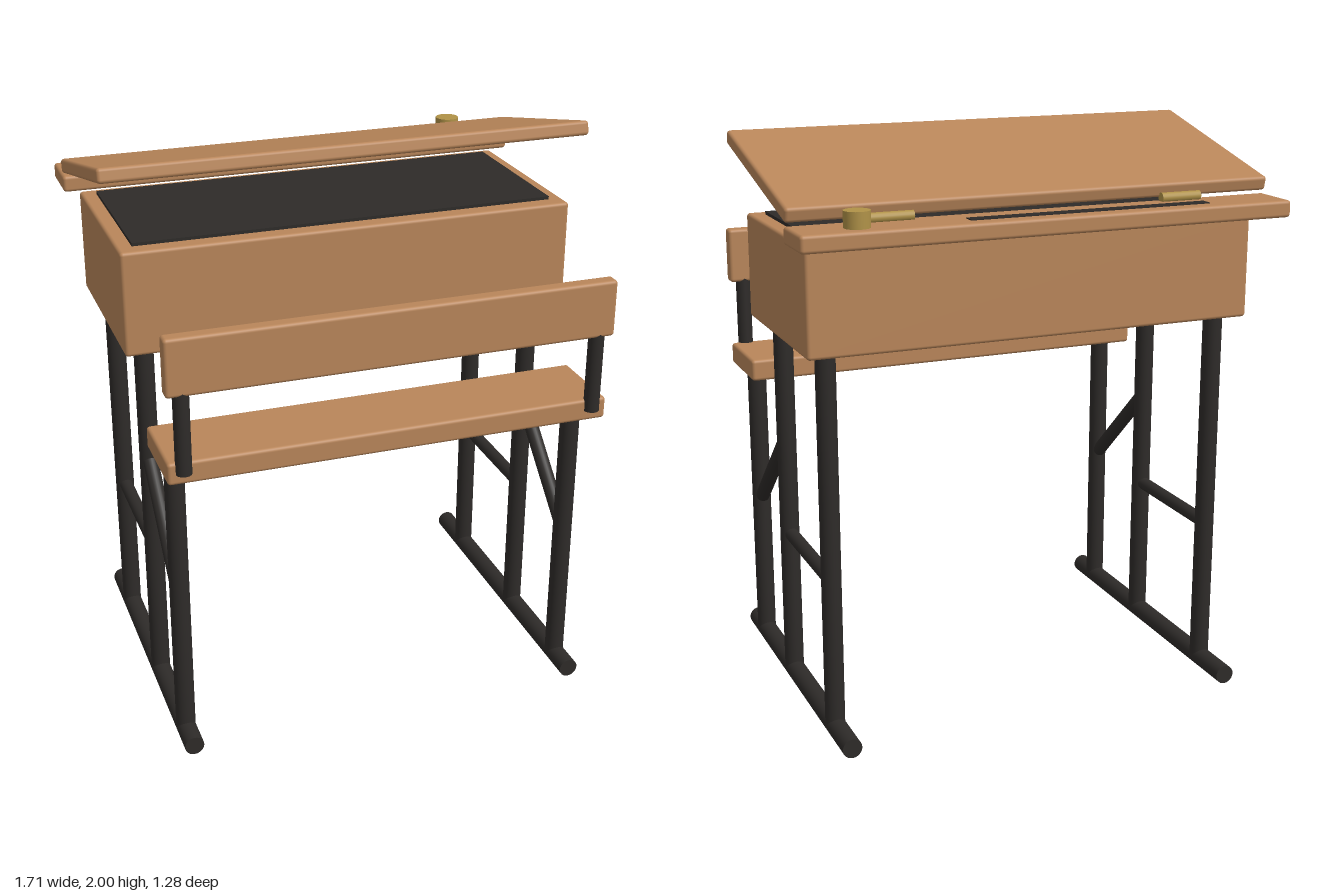
import * as THREE from 'three';
import { RoundedBoxGeometry } from 'three/addons/geometries/RoundedBoxGeometry.js';

export function createModel() {
  const desk = new THREE.Group();
  desk.name = 'schoolDesk';
  const wood = new THREE.MeshStandardMaterial({ color: 0xb9865a });
  const iron = new THREE.MeshStandardMaterial({ color: 0x2e2b29 });
  const brass = new THREE.MeshStandardMaterial({ color: 0xb09248 });

  const add = (name, geometry, material, x, y, z, parent = desk) => {
    const mesh = new THREE.Mesh(geometry, material);
    mesh.name = name;
    mesh.position.set(x, y, z);
    parent.add(mesh);
    return mesh;
  };
  // wooden board with softened edges
  const board = (name, w, h, d, y, z) =>
    add(name, new RoundedBoxGeometry(w, h, d, 3, 0.012), wood, 0, y, z);
  // round bar between two points [y, z] of a side frame
  const bar = (name, r, [y0, z0], [y1, z1], parent) => {
    const length = Math.hypot(y1 - y0, z1 - z0);
    const mesh = add(name, new THREE.CylinderGeometry(r, r, length, 24), iron,
      0, (y0 + y1) / 2, (z0 + z1) / 2, parent);
    mesh.rotation.x = Math.atan2(z1 - z0, y1 - y0);
    return mesh;
  };

  // desk case with its dark interior, back ledge and half-open lid
  board('deskCase', 1.594, 0.364, 0.685, 1.529, -0.138);
  add('caseInterior', new THREE.BoxGeometry(1.49, 0.02, 0.575), iron, 0, 1.712, -0.14);
  board('backLedge', 1.71, 0.058, 0.185, 1.747, -0.548);
  const lid = board('lid', 1.71, 0.05, 0.705, 1.892, -0.137);
  lid.rotation.x = -0.236;

  // ledge fittings: pencil groove, inkwell and hinges
  add('pencilGroove', new THREE.BoxGeometry(0.855, 0.01, 0.043), iron, -0.142, 1.774, -0.567);
  add('inkwell', new THREE.CylinderGeometry(0.043, 0.043, 0.07, 32), brass, 0.652, 1.795, -0.565);
  for (const x of [-0.513, 0.513]) {
    const hinge = add('hinge', new THREE.CylinderGeometry(0.017, 0.017, 0.145, 16), brass, x, 1.788, -0.488);
    hinge.rotation.z = Math.PI / 2;
  }

  // bench
  board('seat', 1.535, 0.078, 0.295, 1.111, 0.472);
  board('backrest', 1.535, 0.198, 0.054, 1.485, 0.617);

  // tubular side frames
  for (const side of [1, -1]) {
    const frame = new THREE.Group();
    frame.name = side > 0 ? 'leftFrame' : 'rightFrame';
    frame.position.x = side * 0.714;
    desk.add(frame);
    bar('floorRail', 0.034, [0.034, 0.594], [0.034, -0.584], frame);
    bar('benchLeg', 0.034, [0.034, 0.471], [1.09, 0.471], frame);
    bar('frontLeg', 0.034, [0.034, 0.092], [1.37, 0.092], frame);
    bar('rearLeg', 0.034, [0.034, -0.397], [1.37, -0.397], frame);
    bar('crossbar', 0.024, [0.565, 0.092], [0.565, -0.397], frame);
    bar('strut', 0.026, [0.572, 0.471], [0.905, 0.11], frame);
    bar('backrestPost', 0.027, [1.11, 0.617], [1.4, 0.617], frame);
  }
  return desk;
}
